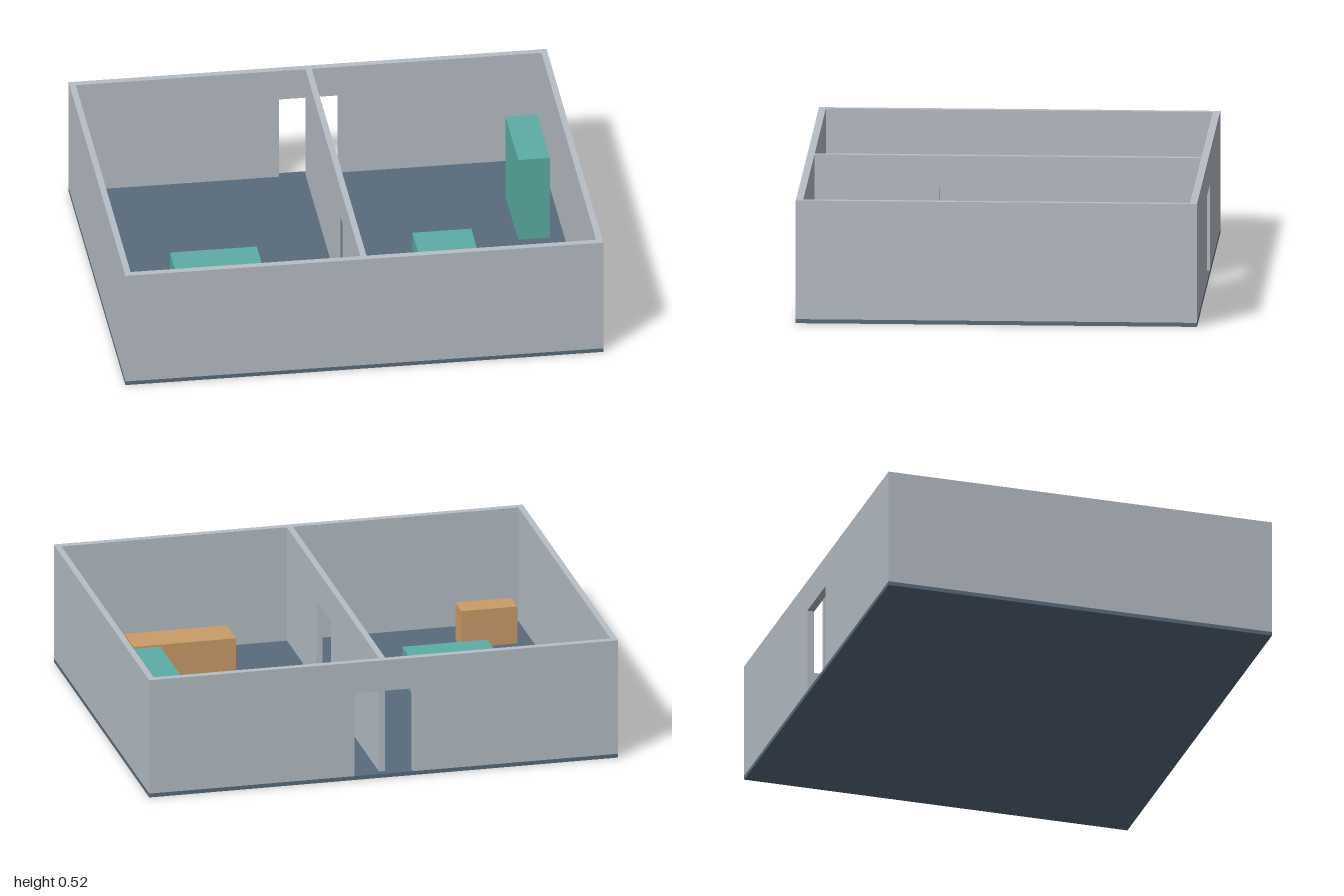
import * as THREE from 'three';

const WIDTH = 2, DEPTH = 1.664, FLOOR = 0.017, HEIGHT = 0.518;
const SIDE = 0.026, END = 0.03; // wall thicknesses
const DOOR_TOP = 0.383;

export function createModel() {
  const group = new THREE.Group();
  const material = (name, color) => {
    const m = new THREE.MeshStandardMaterial({ color });
    m.name = name;
    return m;
  };
  const wallGrey = material('wall grey', 0xb6bec5);
  const floorBlue = material('floor slate blue', 0x586c7d);
  const teal = material('furniture teal', 0x5cada4);
  const tan = material('furniture tan', 0xcb9c68);

  const add = (name, geometry, mat) => {
    const mesh = new THREE.Mesh(geometry, mat);
    mesh.name = name;
    group.add(mesh);
    return mesh;
  };

  // Box given by its limits on each axis
  const block = (name, mat, x0, x1, y0, y1, z0, z1) =>
    add(name, new THREE.BoxGeometry(x1 - x0, y1 - y0, z1 - z0), mat)
      .position.set((x0 + x1) / 2, (y0 + y1) / 2, (z0 + z1) / 2);

  // Upright wall, centred on its length, with a doorway from d0 to d1
  const doorWall = (name, length, thickness, d0, d1) => {
    const h = length / 2;
    const outline = [
      [-h, FLOOR], [d0, FLOOR], [d0, DOOR_TOP], [d1, DOOR_TOP],
      [d1, FLOOR], [h, FLOOR], [h, HEIGHT], [-h, HEIGHT],
    ].map(([x, y]) => new THREE.Vector2(x, y));
    const geometry = new THREE.ExtrudeGeometry(new THREE.Shape(outline), {
      depth: thickness, bevelEnabled: false,
    });
    geometry.translate(0, 0, -thickness / 2);
    return add(name, geometry, wallGrey);
  };

  const hx = WIDTH / 2, hz = DEPTH / 2, inner = hz - END;

  // Floor slab
  block('floor', floorBlue, -hx, hx, 0, FLOOR, -hz, hz);

  // Outer walls
  block('frontWall', wallGrey, -hx, hx, FLOOR, HEIGHT, inner, hz);
  block('leftWall', wallGrey, hx - SIDE, hx, FLOOR, HEIGHT, -inner, inner);
  block('rightWall', wallGrey, -hx, -hx + SIDE, FLOOR, HEIGHT, -inner, inner);
  doorWall('backWall', WIDTH, END, -0.125, 0.125).position.z = -hz + END / 2;

  // Partition between the rooms; turned so its length runs along z
  doorWall('partitionWall', inner * 2, SIDE, 0.035, 0.285).rotation.y = -Math.PI / 2;

  // Furniture: name, material, x limits, top, z limits
  const furniture = [
    ['rightRoomTable', teal, -0.70, -0.337, 0.168, 0.04, 0.222],
    ['leftRoomTable', teal, 0.326, 0.572, 0.135, -0.043, 0.137],
    ['tallCabinet', teal, 0.781, 0.914, 0.395, -0.505, -0.131],
    ['sofa', tan, 0.329, 0.765, 0.2, 0.40, 0.56],
    ['bench', tan, -0.906, -0.668, 0.18, 0.543, 0.65],
  ];
  for (const [name, mat, x0, x1, top, z0, z1] of furniture) {
    block(name, mat, x0, x1, FLOOR, top, z0, z1);
  }
  return group;
}
